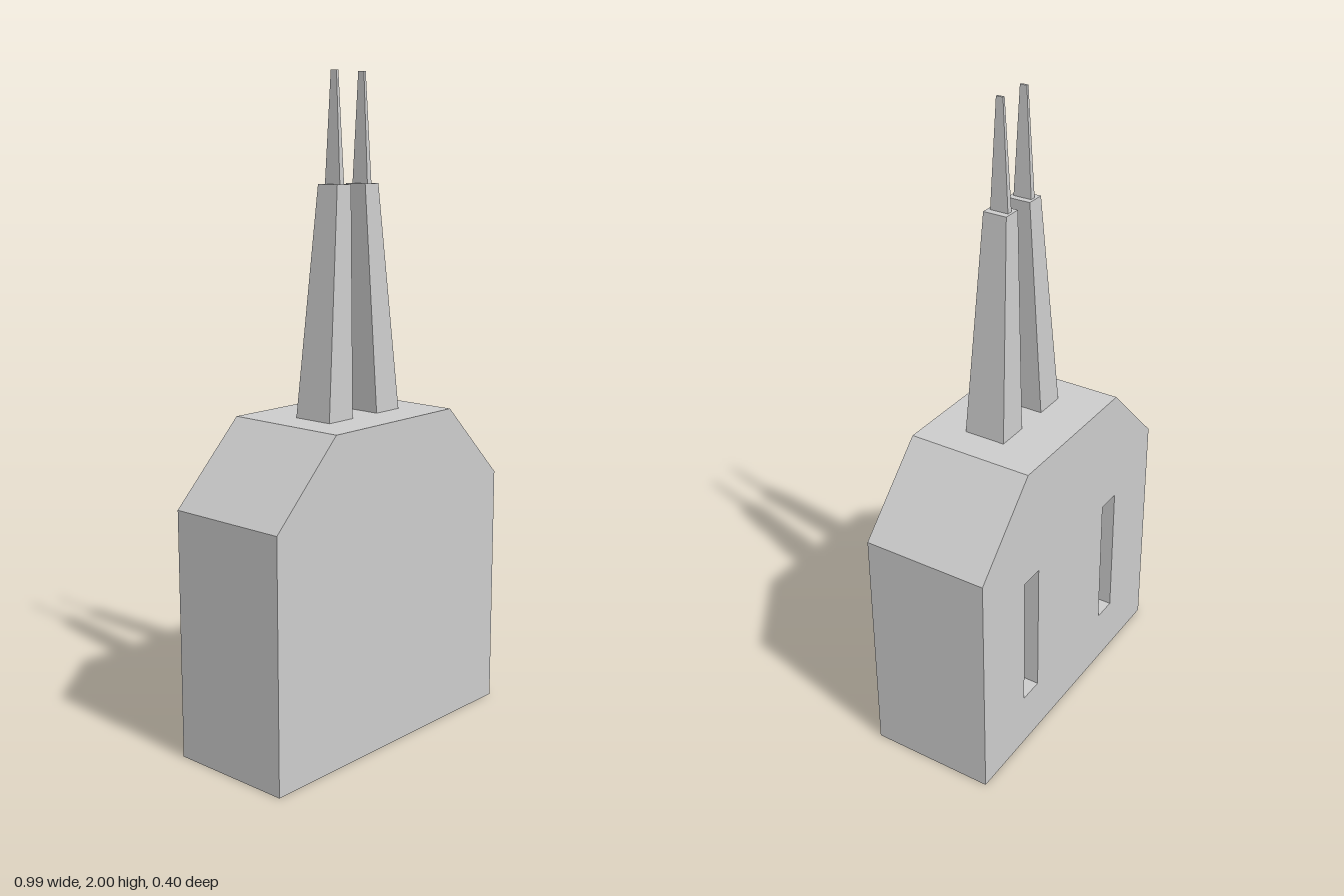
import * as THREE from 'three';
import { mergeGeometries } from 'three/addons/utils/BufferGeometryUtils.js';

const material = new THREE.MeshStandardMaterial({ color: 0xcccccc, flatShading: true });
const BACK = -0.2, FRONT = 0.2, SLOT_FLOOR = 0;

// Flat cap at depth z; back-facing caps are turned round (all outlines are symmetric in x)
function cap(shapes, z, facesBack = false) {
  const g = new THREE.ShapeGeometry(shapes);
  if (facesBack) g.rotateY(Math.PI);
  return g.translate(0, 0, z);
}

// Band of quads along a closed outline, facing outward for a counter-clockwise loop
function wall(points, z0, z1) {
  const pos = [];
  points.forEach((p, i) => {
    const q = points[(i + 1) % points.length];
    pos.push(p.x, p.y, z0, q.x, q.y, z0, q.x, q.y, z1);
    pos.push(p.x, p.y, z0, q.x, q.y, z1, p.x, p.y, z1);
  });
  const g = new THREE.BufferGeometry();
  g.setAttribute('position', new THREE.Float32BufferAttribute(pos, 3));
  return g;
}

function join(parts) {
  const g = mergeGeometries(parts.map((part) => {
    const p = part.index ? part.toNonIndexed() : part;
    p.deleteAttribute('uv');
    p.deleteAttribute('normal');
    return p;
  }));
  g.computeVertexNormals();
  return g;
}

// Tapered block: each end is [y, xMin, xMax, zMin, zMax]; side = -1 mirrors it in x
function taper(name, bottom, top, side) {
  const g = new THREE.BoxGeometry(1, 1, 1).toNonIndexed();
  const p = g.attributes.position;
  for (let i = 0; i < p.count; i++) {
    const [y, x0, x1, z0, z1] = p.getY(i) > 0 ? top : bottom;
    const outer = p.getX(i) * side > 0;
    p.setXYZ(i, side * (outer ? x1 : x0), y, p.getZ(i) > 0 ? z1 : z0);
  }
  g.computeVertexNormals();
  const mesh = new THREE.Mesh(g, material);
  mesh.name = name;
  return mesh;
}

const toPoints = (list) => list.map(([x, y]) => new THREE.Vector2(x, y));

export function createModel() {
  const model = new THREE.Group();
  model.name = 'plug';

  // Body with chamfered shoulders and two blind slots in the back
  const outline = toPoints([
    [-0.497, 0], [0.497, 0], [0.497, 0.76], [0.258, 1], [-0.258, 1], [-0.497, 0.76],
  ]);
  const slots = [-0.235, 0.235].map((x) => toPoints([
    [x - 0.04, 0.18], [x + 0.04, 0.18], [x + 0.04, 0.625], [x - 0.04, 0.625],
  ]));
  const backShape = new THREE.Shape(outline);
  backShape.holes = slots.map((s) => new THREE.Path(s));

  const body = new THREE.Mesh(join([
    wall(outline, BACK, FRONT),
    cap(new THREE.Shape(outline), FRONT),
    cap(backShape, BACK, true),
    cap(slots.map((s) => new THREE.Shape(s)), SLOT_FLOOR, true),
    ...slots.map((s) => wall([...s].reverse(), BACK, SLOT_FLOOR)),
  ]), material);
  body.name = 'body';
  model.add(body);

  // Pair of stepped, tapering prongs
  for (const side of [1, -1]) {
    const prong = new THREE.Group();
    prong.name = side > 0 ? 'leftProng' : 'rightProng';
    prong.add(
      taper('prongBase', [1, 0.054, 0.156, -0.052, 0.08], [1.68, 0.031, 0.09, -0.023, 0.052], side),
      taper('prongTip', [1.68, 0.051, 0.069, -0.015, 0.043], [2, 0.055, 0.063, 0.003, 0.025], side),
    );
    model.add(prong);
  }
  return model;
}
